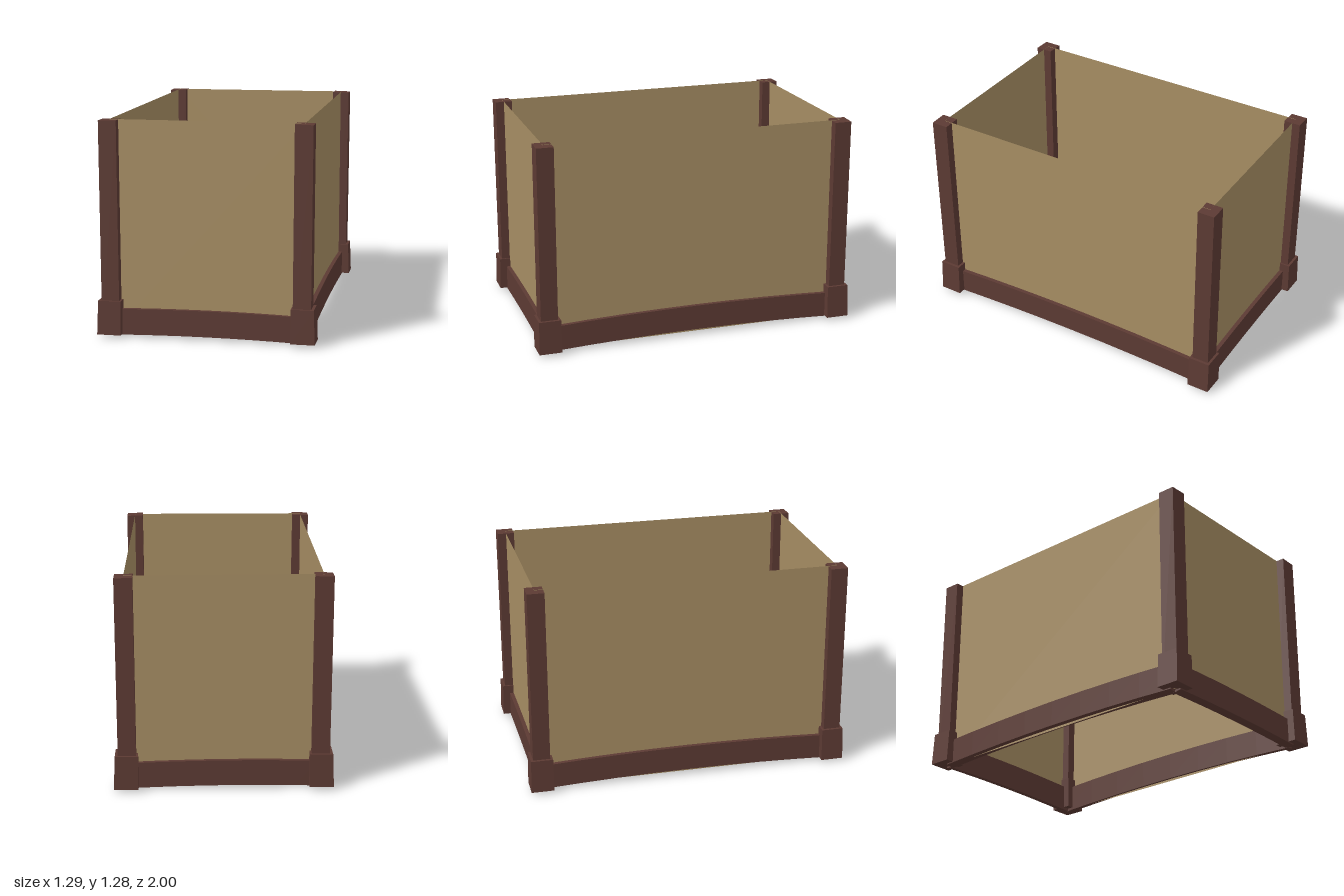
import * as THREE from 'three';

const wood = new THREE.MeshStandardMaterial({ color: 0x5c3a33 });
wood.name = 'dark wood';
wood.flatShading = true;
const panelTan = new THREE.MeshStandardMaterial({ color: 0xa68d63, side: THREE.DoubleSide });
panelTan.name = 'tan panel';

// Corner posts in order around the frame: front right, front left, back left, back right
const corners = [
  { name: 'RightFront', x: -0.57, z: 0.923 },
  { name: 'LeftFront', x: 0.567, z: 0.923 },
  { name: 'LeftBack', x: 0.565, z: -0.93 },
  { name: 'RightBack', x: -0.572, z: -0.91 },
];

function add(parent, name, geometry, material) {
  const mesh = new THREE.Mesh(geometry, material);
  mesh.name = name;
  parent.add(mesh);
  return mesh;
}

// Box whose vertices are moved by a rule
function shapedBox(w, h, d, segments, rule) {
  const g = new THREE.BoxGeometry(w, h, d, segments, 1, 1);
  const p = g.attributes.position;
  const v = new THREE.Vector3();
  for (let i = 0; i < p.count; i++) {
    v.fromBufferAttribute(p, i);
    rule(v);
    p.setXYZ(i, v.x, v.y, v.z);
  }
  g.computeVertexNormals();
  return g;
}

// Post with a foot block that flares slightly outward at the bottom
function makePost({ name, x, z }) {
  const post = new THREE.Group();
  post.name = 'post' + name;
  post.position.set(x, 0, z);
  const sx = Math.sign(x), sz = Math.sign(z);

  const shaft = shapedBox(0.106, 1.25, 0.104, 1, (v) => {
    v.x += sx * (v.y > 0 ? 0.001 : -0.004);
    if (v.y > 0 && v.x * sx > 0) v.y -= 0.003;
  });
  add(post, 'shaft', shaft, wood).position.y = 0.659;

  const foot = shapedBox(0.134, 0.203, 0.134, 1, (v) => {
    if (v.y < 0 && v.x * sx > 0) v.x += sx * 0.008;
    if (v.y < 0 && v.z * sz > 0) v.z += sz * 0.004;
  });
  add(post, 'foot', foot, wood).position.y = 0.1205;
  return post;
}

// Arched bottom rail and the thin panel standing in it, outer face on local +z
function makeSide(a, b, name, arch) {
  const side = new THREE.Group();
  side.name = name + 'Side';
  const dx = b.x - a.x, dz = b.z - a.z;
  const length = Math.hypot(dx, dz);
  side.position.set((a.x + b.x) / 2, 0, (a.z + b.z) / 2);
  side.rotation.y = Math.atan2(-dz, dx);

  const rail = shapedBox(length - 0.03, 0.155, 0.05, 8, (v) => {
    const t = (2 * v.x) / length;
    if (v.y < 0 && v.z < 0) v.y -= 0.01;
    v.y += 0.088 + arch * (1 - t * t);
  });
  add(side, 'rail', rail, wood);

  const panel = add(side, 'panel', new THREE.PlaneGeometry(length, 1.269), panelTan);
  panel.position.y = 0.6505;
  return side;
}

export function createModel() {
  const model = new THREE.Group();
  model.name = 'openCrate';
  corners.forEach((c) => model.add(makePost(c)));
  ['front', 'left', 'back', 'right'].forEach((name, i) => {
    model.add(makeSide(corners[i], corners[(i + 1) % 4], name, i % 2 ? 0.025 : 0.011));
  });
  return model;
}
